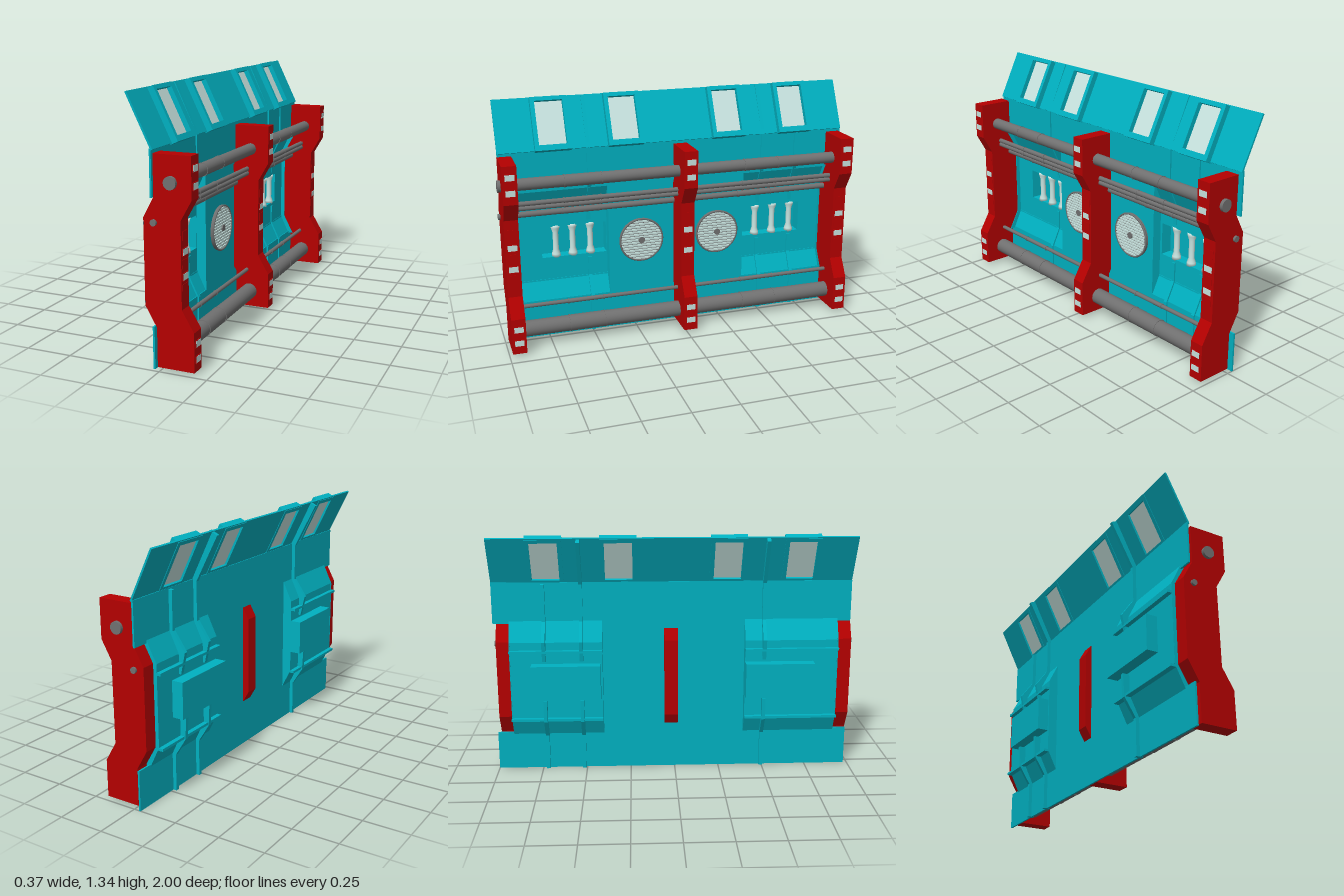
import * as THREE from 'three';

const mat = (color) => new THREE.MeshStandardMaterial({ color, side: THREE.DoubleSide });
const TEAL = mat(0x00b0c0), RED = mat(0xb40000), PIPE = mat(0x707070), LIGHT = mat(0xc8e4e0);

export function createModel() {
  const root = new THREE.Group();

  const add = (name, geo, material, parent = root) => {
    const m = new THREE.Mesh(geo, material);
    m.name = name;
    parent.add(m);
    return m;
  };
  // box given by its limits
  const box = (name, material, x0, x1, y0, y1, z0, z1, parent = root) => {
    const m = add(name, new THREE.BoxGeometry(x1 - x0, y1 - y0, z1 - z0), material, parent);
    m.position.set((x0 + x1) / 2, (y0 + y1) / 2, (z0 + z1) / 2);
  };
  // closed x-y outline extruded from z0 to z1
  const slab = (name, material, pts, z0, z1) => {
    const shape = new THREE.Shape(pts.map((p) => new THREE.Vector2(...p)));
    const geo = new THREE.ExtrudeGeometry(shape, { depth: z1 - z0, bevelEnabled: false });
    add(name, geo.translate(0, 0, z0), material);
  };
  // folded sheet following an open x-y profile
  const sheet = (name, pts, z0, z1, t = 0.01) =>
    slab(name, TEAL, [...pts, ...pts.map(([x, y]) => [x - t, y]).reverse()], z0, z1);
  // rod along z
  const rod = (name, material, x, y, r, z0, z1) => {
    const geo = new THREE.CylinderGeometry(r, r, z1 - z0, 28).rotateX(Math.PI / 2);
    add(name, geo, material).position.set(x, y, (z0 + z1) / 2);
  };

  // three upright frames with pads on their outer edge
  const outline = [[-0.02, 1.055], [-0.02, 0.85], [-0.075, 0.75], [-0.075, 0.32], [-0.015, 0.215], [-0.015, 0.015],
    [0.18, 0.015], [0.18, 0.215], [0.118, 0.32], [0.118, 0.75], [0.175, 0.85], [0.175, 1.055]];
  for (const z of [0.945, -0.02, -0.945]) {
    slab('uprightFrame', RED, outline, z - 0.038, z + 0.038);
    for (const [y, x] of [[0.995, 0.175], [0.912, 0.175], [0.597, 0.118], [0.477, 0.118], [0.155, 0.18], [0.077, 0.18]]) {
      box('padBase', RED, x - 0.01, x + 0.004, y - 0.019, y + 0.019, z - 0.027, z + 0.027);
      box('padFace', LIGHT, x, x + 0.005, y - 0.016, y + 0.016, z - 0.025, z + 0.025);
    }
    for (const y of [0.675, 0.538, 0.42])
      box('frameBlock', RED, 0.105, 0.12, y - 0.022, y + 0.022, z - 0.026, z + 0.026);
  }

  // long pipes, each with two collared sleeves
  const pipes = [[0.071, 0.925, 0.032, 1], [0.05, 0.812, 0.013, 0.98], [0.05, 0.787, 0.013, 0.98],
    [-0.02, 0.73, 0.016, 0.995], [0.05, 0.228, 0.011, 0.97], [0.066, 0.103, 0.044, 0.97]];
  for (const [x, y, r, half] of pipes) {
    rod('pipe', PIPE, x, y, r, -half, half);
    for (const z of [0.55, -0.465]) {
      rod('pipeSleeve', PIPE, x, y, r + 0.001, z - 0.1, z + 0.1);
      for (const s of [-1, 1]) rod('sleeveCollar', PIPE, x, y, r + 0.003, z + s * 0.1 - 0.003, z + s * 0.1 + 0.003);
    }
  }

  // wall sheet: flat bottom and top strips
  sheet('lowerWall', [[-0.03, 0], [-0.03, 0.215]], -1, 0.98);
  sheet('upperWall', [[-0.03, 0.845], [-0.03, 1.075]], -1, 0.98);

  // flat centre panel, with cheeks where the side walls step backward
  const xm = -0.083;
  sheet('centrePanel', [[-0.03, 0.215], [-0.03, 0.845]], -0.4, 0.39);
  for (const z of [-0.404, 0.39])
    slab('centreCheek', TEAL, [[-0.03, 0.205], [-0.03, 0.86], [xm - 0.01, 0.75], [xm - 0.01, 0.315]], z, z + 0.004);
  // returns closing the side walls against the outer frames
  for (const z of [-0.91, 0.903])
    sheet('wallReturn', [[0, 0.205], [-0.06, 0.32], [-0.06, 0.75], [0, 0.86]], z, z + 0.004, 0.035);

  for (const [z0, z1, p0, p1, bars] of [
    [-0.91, -0.4, -0.79, -0.41, [-0.51, -0.62, -0.73]],
    [0.39, 0.908, 0.39, 0.77, [0.485, 0.585, 0.68]]]) {
    sheet('sideWallLower', [[-0.03, 0.205], [xm, 0.315], [xm, 0.44]], z0, z1);
    sheet('sideWallUpper', [[xm, 0.63], [xm, 0.75], [-0.03, 0.86]], z0, z1);
    for (const [a, b] of [[z0, p0], [p1, z1]])
      if (b - a > 0.001) sheet('sideWallStrip', [[xm, 0.44], [xm, 0.63]], a, b);
    for (const y of [0.31, 0.7]) box('wallLedge', TEAL, -0.118, xm + 0.003, y - 0.007, y + 0.007, z0, z1);

    // pocket open to the front, holding flared bars
    const t = 0.008;
    box('pocketBack', TEAL, -0.156, -0.148, 0.436, 0.63, p0, p1);
    box('pocketFloor', TEAL, -0.15, xm, 0.436, 0.436 + t, p0, p1);
    box('pocketCeiling', TEAL, -0.15, xm, 0.63 - t, 0.63, p0, p1);
    box('pocketSide', TEAL, -0.15, xm, 0.436, 0.63, p0, p0 + t);
    box('pocketSide', TEAL, -0.15, xm, 0.436, 0.63, p1 - t, p1);
    const profile = [[0, -0.093], [0.026, -0.093], [0.024, -0.075], [0.016, -0.05], [0.016, 0.05],
      [0.024, 0.075], [0.026, 0.093], [0, 0.093]].map((p) => new THREE.Vector2(...p));
    for (const z of bars)
      add('pocketBar', new THREE.LatheGeometry(profile, 16), LIGHT).position.set(-0.104, 0.533, z);
  }

  // ribs crossing the wall, interrupted at the pockets
  const lowRib = [[-0.022, 0], [-0.022, 0.21], [-0.075, 0.318], [-0.075, 0.425],
    [-0.13, 0.425], [-0.123, 0.3], [-0.06, 0.2], [-0.06, 0]];
  const ribFront = [[-0.08, 0.645], [-0.075, 0.75], [-0.022, 0.865], [-0.022, 1.07]];
  const ribBack = [[-0.06, 1.065], [-0.06, 0.86], [-0.13, 0.76], [-0.105, 0.645]];
  for (const z of [0.495, -0.515, -0.72]) {
    slab('lowerRib', TEAL, lowRib, z - 0.01, z + 0.01);
    const tip = z === -0.72 ? [] : [[-0.143, 1.332], [-0.187, 1.31]];
    slab('upperRib', TEAL, [...ribFront, ...tip, ...ribBack], z - 0.01, z + 0.01);
  }

  // leaning top panel with framed windows
  const top = new THREE.Group();
  top.name = 'topPanel';
  top.position.set(-0.0905, 1.2, 0);
  top.rotation.z = 0.455;
  root.add(top);
  const windows = [0.685, 0.288, -0.304, -0.7];
  const rect = (Type, a, b, y0, y1) =>
    new Type([[a, y0], [b, y0], [b, y1], [a, y1]].map((p) => new THREE.Vector2(...p)));
  // outline drawn across -z and up, thickened along x
  const pierced = (name, a, b, y0, y1, holes, x0, x1) => {
    const s = rect(THREE.Shape, -b, -a, y0, y1);
    for (const z of holes) s.holes.push(rect(THREE.Path, -z - 0.075, -z + 0.075, -0.122, 0.117));
    const geo = new THREE.ExtrudeGeometry(s, { depth: x1 - x0, bevelEnabled: false });
    add(name, geo.rotateY(Math.PI / 2).translate(x0, 0, 0), TEAL, top);
  };
  pierced('topSheet', -1, 0.98, -0.146, 0.145, windows, -0.005, 0.005);
  for (const z of windows) {
    pierced('windowFrame', z - 0.098, z + 0.098, -0.152, 0.139, [z], -0.008, 0.037);
    box('windowPane', LIGHT, 0.004, 0.01, -0.123, 0.118, z - 0.076, z + 0.076, top);
  }

  // round slatted vents
  for (const z of [0.21, -0.24]) {
    const vent = new THREE.Group();
    vent.name = 'roundVent';
    vent.position.set(-0.024, 0.515, z);
    root.add(vent);
    add('ventBacking', new THREE.CylinderGeometry(0.125, 0.125, 0.012, 40).rotateZ(Math.PI / 2), PIPE, vent);
    const ring = add('ventRing', new THREE.TorusGeometry(0.122, 0.006, 8, 48).rotateY(Math.PI / 2), PIPE, vent);
    ring.position.x = 0.008;
    for (let i = -7; i <= 7; i++) {
      const y = i * 0.0155, half = Math.sqrt(0.12 ** 2 - y * y);
      box('ventSlat', LIGHT, 0.004, 0.012, y - 0.005, y + 0.005, -half, half, vent);
    }
    const hub = add('ventHub', new THREE.CylinderGeometry(0.018, 0.018, 0.02, 20).rotateZ(Math.PI / 2), PIPE, vent);
    hub.position.x = 0.008;
  }

  return root;
}
